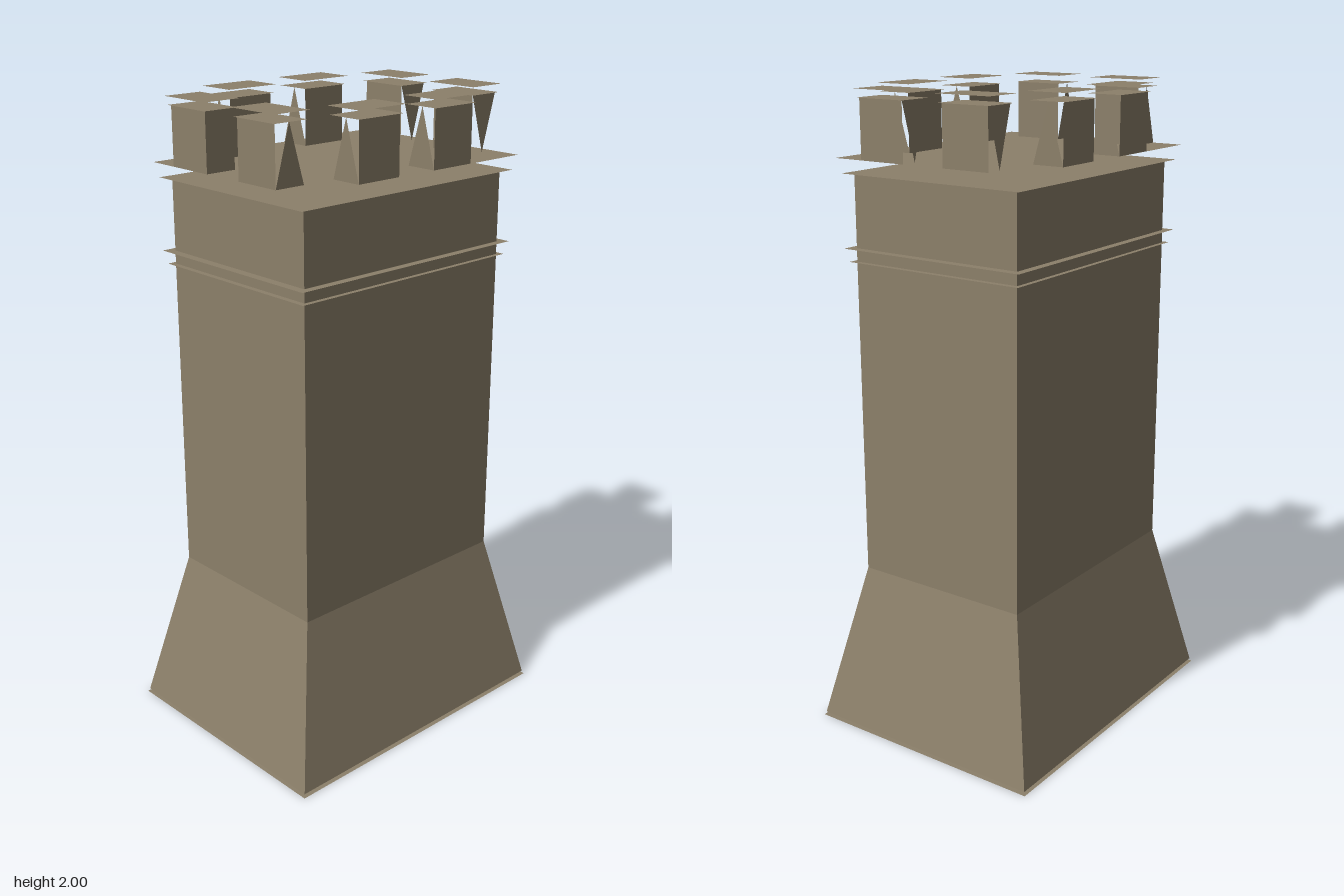
import * as THREE from 'three';

const stone = new THREE.MeshStandardMaterial({ color: 0x8c806a, flatShading: true });
const thinStone = new THREE.MeshStandardMaterial({ color: 0x8c806a, flatShading: true, side: THREE.DoubleSide });

function addMesh(parent, name, geometry, material = stone) {
  const mesh = new THREE.Mesh(geometry, material);
  mesh.name = name;
  parent.add(mesh);
  return mesh;
}

// Thin horizontal sheet, given by half sizes
function sheet(parent, name, hx, hz, y) {
  const geometry = new THREE.PlaneGeometry(hx * 2, hz * 2).rotateX(-Math.PI / 2);
  addMesh(parent, name, geometry, thinStone).position.y = y;
}

// Four walls without top or bottom, from rings [halfX, halfZ, y]
function walls(rings) {
  const corners = [[-1, 1], [1, 1], [1, -1], [-1, -1]];
  const position = [];
  for (let r = 0; r < rings.length - 1; r++) {
    for (let i = 0; i < 4; i++) {
      const at = (ring, c) => [c[0] * ring[0], ring[2], c[1] * ring[1]];
      const c = corners[i], d = corners[(i + 1) % 4];
      const a0 = at(rings[r], c), b0 = at(rings[r], d);
      const a1 = at(rings[r + 1], c), b1 = at(rings[r + 1], d);
      position.push(...a0, ...b0, ...b1, ...a0, ...b1, ...a1);
    }
  }
  const geometry = new THREE.BufferGeometry();
  geometry.setAttribute('position', new THREE.Float32BufferAttribute(position, 3));
  geometry.computeVertexNormals();
  return geometry;
}

const LOW = 1.8, HIGH = 1.975;

// End of a merlon: full panel, or a triangle pointing up or down
function endPanel(kind, halfDepth) {
  const outlines = {
    full: [[-1, LOW], [1, LOW], [1, HIGH], [-1, HIGH]],
    up: [[-1, LOW], [1, LOW], [0, HIGH]],
    down: [[0, LOW], [1, HIGH], [-1, HIGH]],
  };
  const points = outlines[kind].map(([u, y]) => new THREE.Vector2(u * halfDepth, y));
  return new THREE.ShapeGeometry(new THREE.Shape(points));
}

// Merlon running along its local x, with two long faces, two ends and two cap sheets
function merlon(rightEnd, leftEnd) {
  const group = new THREE.Group();
  group.name = 'merlon';
  const hw = 0.0775, hd = 0.05;
  for (const s of [1, -1]) {
    const face = addMesh(group, 'merlonFace', new THREE.PlaneGeometry(hw * 2, HIGH - LOW));
    face.position.set(0, (LOW + HIGH) / 2, s * hd);
    face.rotation.y = s > 0 ? 0 : Math.PI;
    const end = addMesh(group, 'merlonEnd', endPanel(s > 0 ? rightEnd : leftEnd, hd));
    end.position.x = s * hw;
    end.rotation.y = s * Math.PI / 2;
  }
  sheet(group, 'merlonCapUnderside', 0.085, 0.058, HIGH);
  sheet(group, 'merlonCap', 0.09, 0.063, 2);
  return group;
}

export function createModel() {
  const tower = new THREE.Group();
  tower.name = 'tower';

  // Sloped foot and straight shaft
  addMesh(tower, 'slopedBase', walls([[0.395, 0.505, 0.01], [0.29, 0.395, 0.51]]));
  addMesh(tower, 'shaft', walls([[0.29, 0.395, 0.51], [0.29, 0.395, 1.75]]));
  sheet(tower, 'bottom', 0.4, 0.51, 0);

  // Paired string course and roof sheets
  sheet(tower, 'lowerCourse', 0.305, 0.413, 1.495);
  sheet(tower, 'upperCourse', 0.315, 0.423, 1.535);
  sheet(tower, 'roofUnderside', 0.315, 0.423, 1.755);
  sheet(tower, 'roof', 0.325, 0.435, 1.8);

  // Two merlons on each side of the roof
  for (const s of [-1, 1]) {
    const front = merlon(s < 0 ? 'full' : 'up', 'up');
    front.position.set(s * 0.1475, 0, 0.385);
    const back = merlon('down', 'down');
    back.position.set(s * 0.1475, 0, -0.385);
    tower.add(front, back);
    for (const t of [-1, 1]) {
      const side = merlon('up', 'up');
      side.rotation.y = Math.PI / 2;
      side.position.set(s * 0.273, 0, t * 0.1475);
      tower.add(side);
    }
  }
  return tower;
}
